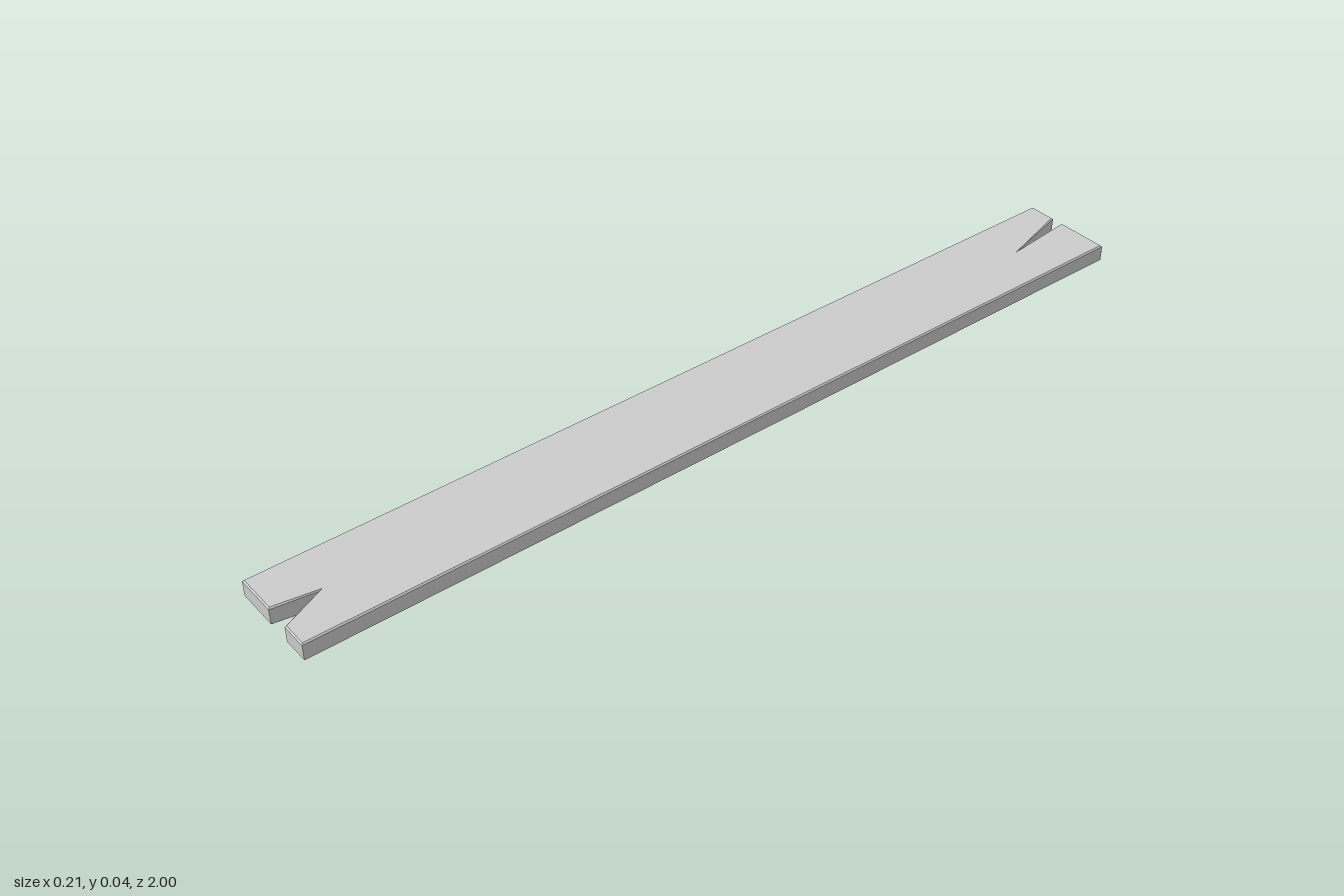
import * as THREE from 'three';

const WIDTH = 0.211, LENGTH = 2, HEIGHT = 0.04, BEVEL = 0.003;

export function createModel() {
  const group = new THREE.Group();
  group.name = 'woodenPlank';

  // Plank outline seen from above (shape y = -z), with a split in each end
  const w = WIDTH / 2, l = LENGTH / 2;
  const frontSplit = [[-0.01, -l], [0.004, -0.905], [0.046, -l]];
  const backSplit = [[-0.016, l], [0.004, 0.838], [-0.042, l]];
  const outline = [[-w, -l], ...frontSplit, [w, -l], [w, l], ...backSplit, [-w, l]];
  const shape = new THREE.Shape(outline.map(([x, y]) => new THREE.Vector2(x, y)));

  // Thickness with finely chamfered edges
  const geometry = new THREE.ExtrudeGeometry(shape, {
    depth: HEIGHT - 2 * BEVEL,
    bevelEnabled: true,
    bevelThickness: BEVEL,
    bevelSize: BEVEL,
    bevelOffset: -BEVEL,
    bevelSegments: 1,
  });
  geometry.rotateX(-Math.PI / 2);
  geometry.translate(0, BEVEL, 0);

  const plank = new THREE.Mesh(
    geometry,
    new THREE.MeshStandardMaterial({ color: 0xcccccc, flatShading: true })
  );
  plank.name = 'plank';
  group.add(plank);
  return group;
}
